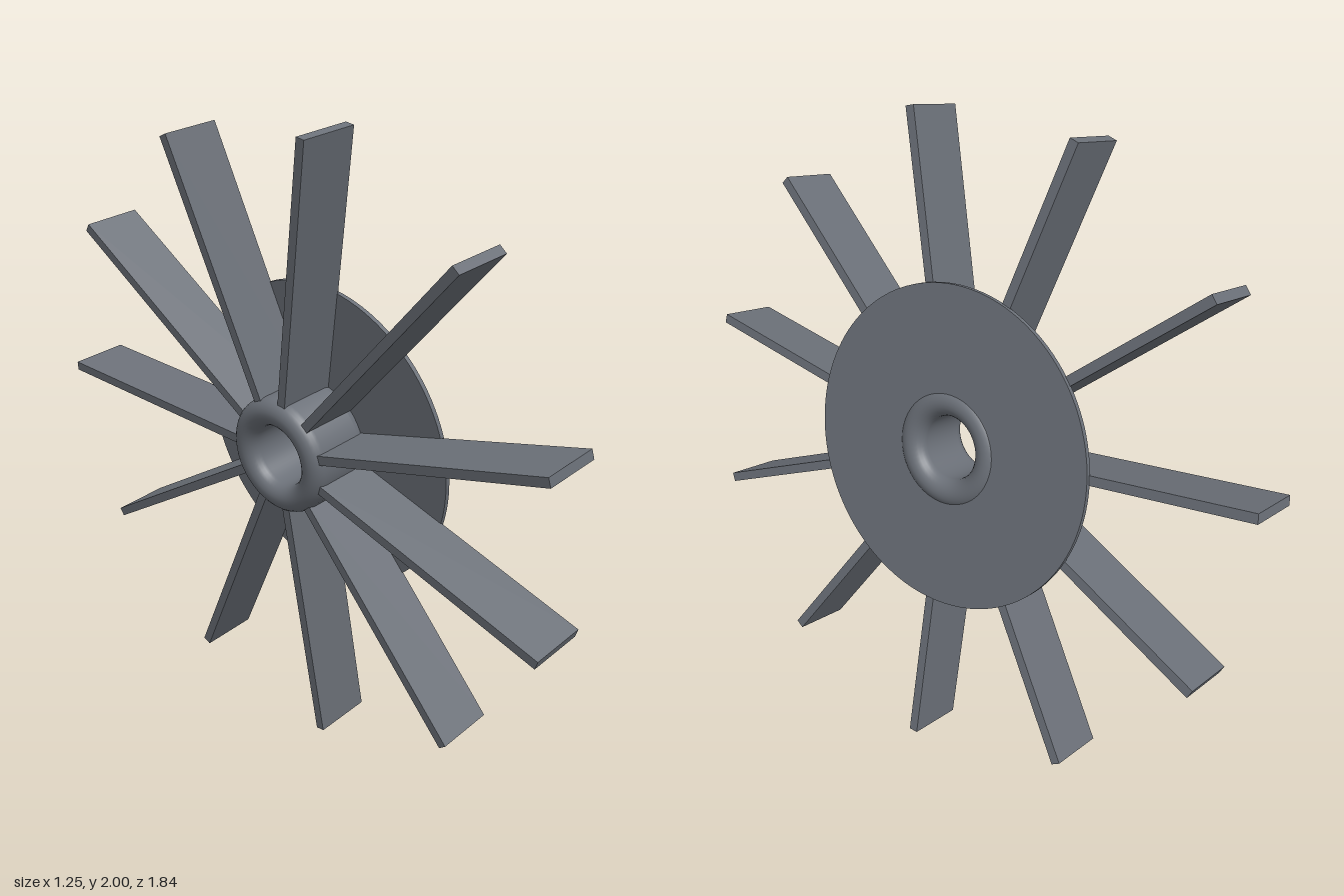
import * as THREE from 'three';

export function createModel() {
  const model = new THREE.Group();
  model.name = 'paddleWheel';
  const steel = new THREE.MeshStandardMaterial({ color: 0x6b7078 });
  steel.name = 'steel grey';

  // Wheel is built around local Y, then tilted onto its axle direction
  const wheel = new THREE.Group();
  wheel.name = 'wheel';
  model.add(wheel);
  const add = (name, geometry, parent = wheel) => {
    const mesh = new THREE.Mesh(geometry, steel);
    mesh.name = name;
    parent.add(mesh);
    return mesh;
  };

  // Hub: thick sleeve with rounded lips at both ends
  const profile = [];
  const lipRadius = 0.045, lipCentre = 0.145, lipHeight = 0.075;
  const steps = 12;
  for (const end of [0, 1]) {
    for (let i = 0; i <= steps; i++) {
      const a = Math.PI * (end + i / steps);
      profile.push(new THREE.Vector2(
        lipCentre + lipRadius * Math.cos(a),
        (end ? -lipHeight : lipHeight) + lipRadius * Math.sin(a)));
    }
  }
  profile.push(profile[0].clone());
  add('hub', new THREE.LatheGeometry(profile, 48));

  // Backing disc with a bore for the hub
  const ring = new THREE.Shape().absarc(0, 0, 0.508, 0, Math.PI * 2, false);
  ring.holes.push(new THREE.Path().absarc(0, 0, lipCentre, 0, Math.PI * 2, true));
  const disc = new THREE.ExtrudeGeometry(ring, { depth: 0.015, bevelEnabled: false, curveSegments: 64 });
  disc.rotateX(-Math.PI / 2).translate(0, 0.094, 0);
  add('backingDisc', disc);

  // Eleven flat radial paddles
  const count = 11, inner = 0.17, outer = 1.02;
  const paddle = new THREE.BoxGeometry(outer - inner, 0.195, 0.03);
  paddle.translate((inner + outer) / 2, 0, 0);
  for (let i = 0; i < count; i++) {
    add('paddle' + (i + 1), paddle).rotation.y = Math.PI + (i * 2 * Math.PI) / count;
  }

  // Tilt: local Y becomes the axle, local X the steepest line in the wheel plane
  const axle = new THREE.Vector3(0.845, 0.19, -0.5).normalize();
  const rise = new THREE.Vector3(0, 1, 0).addScaledVector(axle, -axle.y).normalize();
  const side = new THREE.Vector3().crossVectors(rise, axle);
  wheel.quaternion.setFromRotationMatrix(new THREE.Matrix4().makeBasis(rise, axle, side));
  wheel.position.y = 1.02;

  return model;
}
